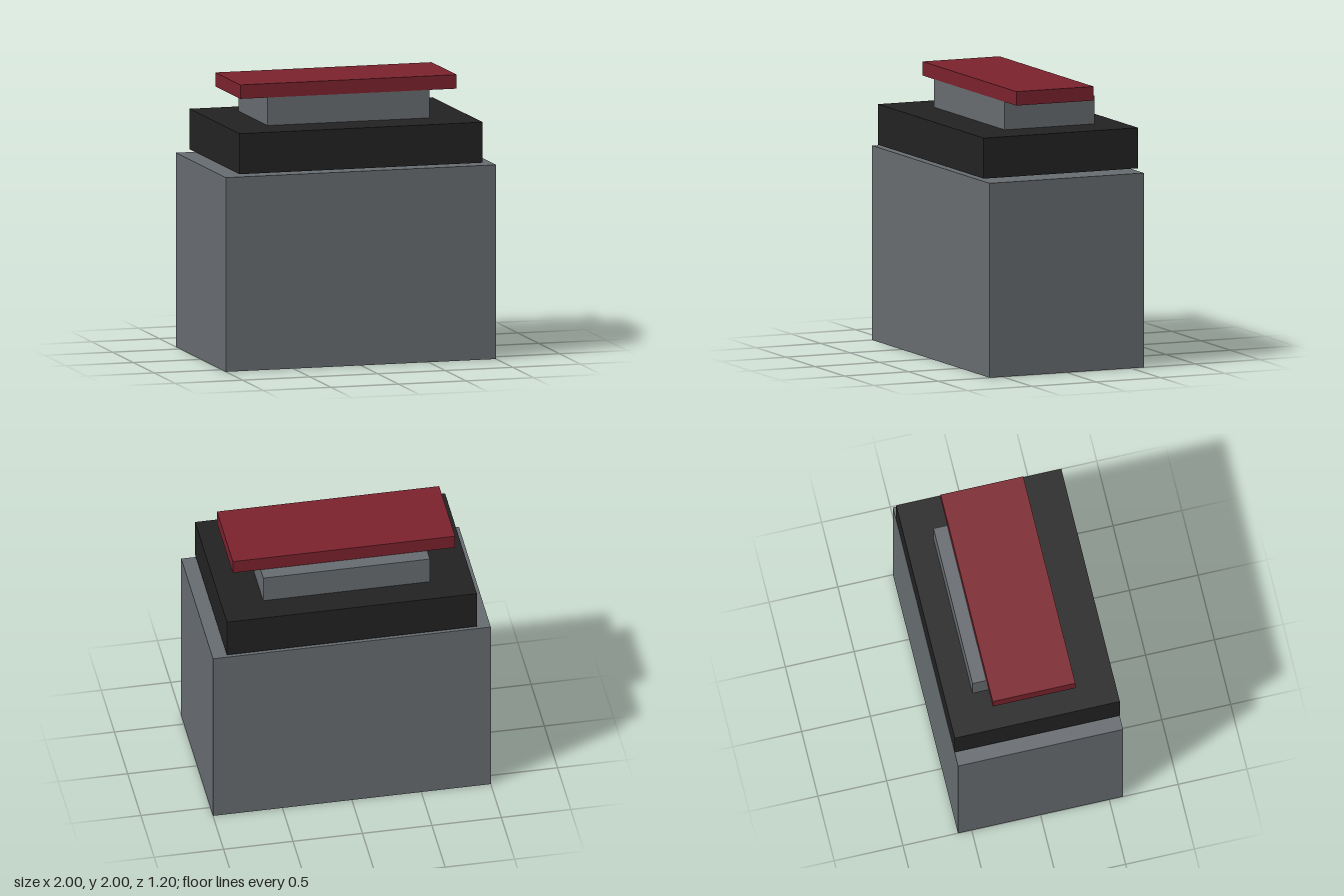
import * as THREE from 'three';

const mat = (name, color, side = THREE.FrontSide) => {
  const m = new THREE.MeshStandardMaterial({ color, side });
  m.name = name;
  return m;
};

export function createModel() {
  const group = new THREE.Group();
  const grey = mat('slate grey', 0x666b6f, THREE.DoubleSide);
  const black = mat('soft black', 0x222222);
  const red = mat('dark red', 0x7a222d);
  const gold = mat('gold', 0xc8922a);

  // Box given by its lower and upper corners
  const box = (name, material, [x0, y0, z0], [x1, y1, z1]) => {
    const geometry = new THREE.BoxGeometry(x1 - x0, y1 - y0, z1 - z0);
    const mesh = new THREE.Mesh(geometry, material);
    mesh.position.set((x0 + x1) / 2, (y0 + y1) / 2, (z0 + z1) / 2);
    mesh.name = name;
    group.add(mesh);
    return mesh;
  };

  // Hollow body, open underneath: drop the two triangles of the bottom face
  const body = box('body', grey, [-1, 0, -0.6], [1, 1.39, 0.6]);
  const index = Array.from(body.geometry.index.array);
  index.splice(18, 6);
  body.geometry.setIndex(index);
  body.geometry.clearGroups();

  // Thin gold plate and two raised pads in the gap below the collar
  box('plate', gold, [-0.7, 1.392, -0.4], [0.7, 1.4, 0.4]);
  for (const side of [-1, 1]) {
    const pad = box(side > 0 ? 'leftPad' : 'rightPad', gold, [0.2, 1.4, -0.3], [0.5, 1.408, -0.1]);
    pad.position.x *= side;
  }

  // Stacked upper parts
  box('collar', black, [-0.9, 1.41, -0.6], [0.9, 1.7, 0.6]);
  box('neck', grey, [-0.6, 1.7, -0.4], [0.6, 1.9, 0.3]);
  box('cap', red, [-0.8, 1.9, -0.3], [0.8, 2, 0.3]);

  return group;
}
